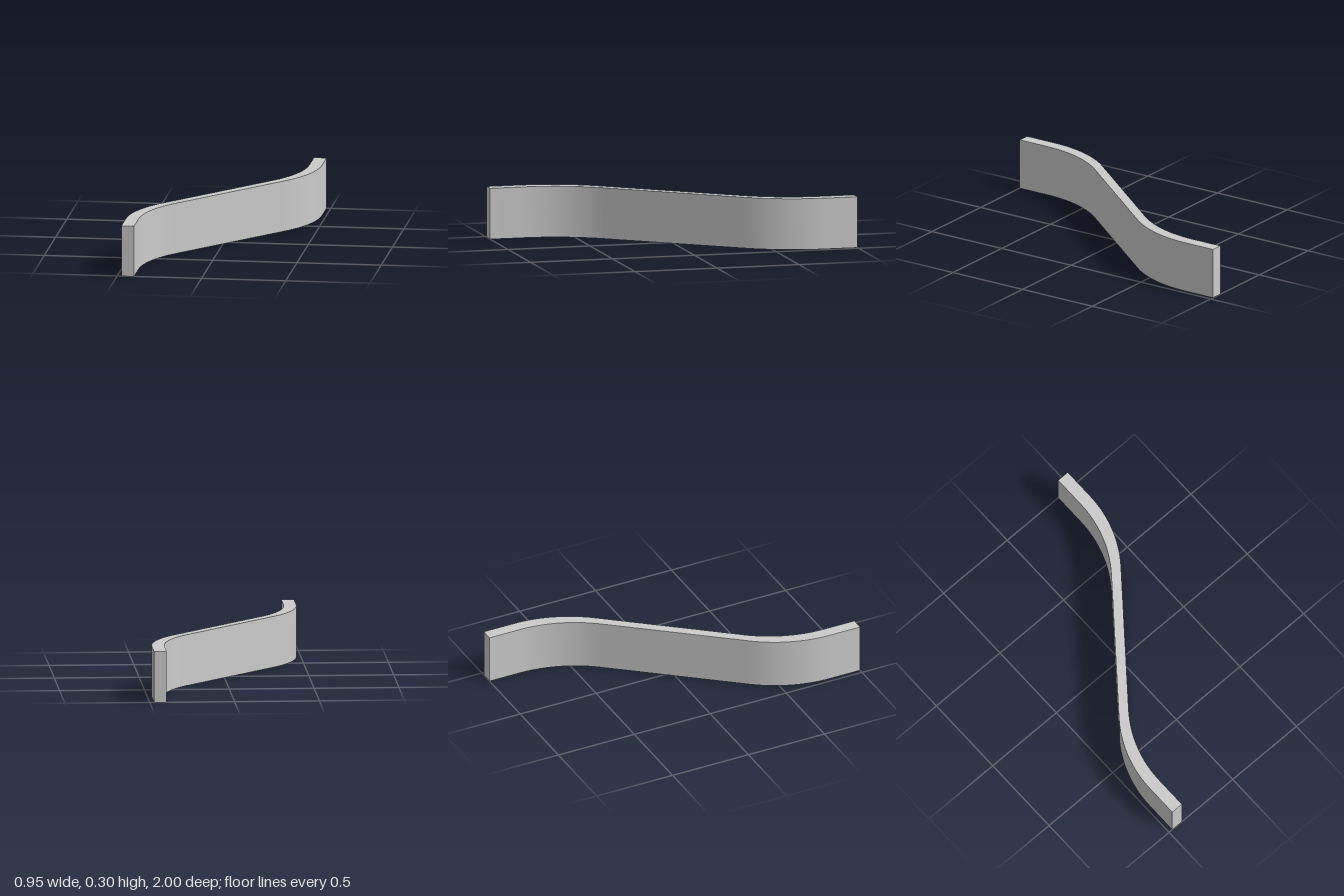
import * as THREE from 'three';
import { toCreasedNormals } from 'three/addons/utils/BufferGeometryUtils.js';

const HEIGHT = 0.303;
const HALF_WIDTH = 0.0375; // half the strip's width, measured along x
const END_X = 0.4375; // centre line of the straight ends
const BEND_Z = 0.8; // where the bends begin
const SLOPE = 0.8; // sideways run of the diagonal per unit of depth
const STEPS = 20;

// Centre line of the S, in plan (x, -z): straight end, arc, diagonal, arc, straight end
function centreLine() {
  const angle = Math.atan(SLOPE);
  const radius = (BEND_Z * SLOPE - END_X) / (1 / Math.cos(angle) - 1);
  const half = [new THREE.Vector2(-END_X, -1)];
  for (let i = 0; i <= STEPS; i++) {
    const a = (angle * i) / STEPS;
    half.push(new THREE.Vector2(
      -END_X + radius * (1 - Math.cos(a)),
      -BEND_Z + radius * Math.sin(a)
    ));
  }
  const mirrored = half.map((p) => p.clone().negate()).reverse();
  return [...half, ...mirrored];
}

export function createModel() {
  const group = new THREE.Group();
  group.name = 'curvedStrip';

  // Outline: the centre line shifted to either side along x
  const line = centreLine();
  const shifted = (dx) => line.map((p) => new THREE.Vector2(p.x + dx, p.y));
  const outline = [...shifted(HALF_WIDTH), ...shifted(-HALF_WIDTH).reverse()];

  // Raise the plan outline into an upright band
  const band = new THREE.ExtrudeGeometry(new THREE.Shape(outline), {
    depth: HEIGHT,
    bevelEnabled: false,
  });
  band.rotateX(-Math.PI / 2);

  const mesh = new THREE.Mesh(
    toCreasedNormals(band, Math.PI / 6),
    new THREE.MeshStandardMaterial({ color: 0xcccccc })
  );
  mesh.name = 'sCurveBand';
  group.add(mesh);
  return group;
}
